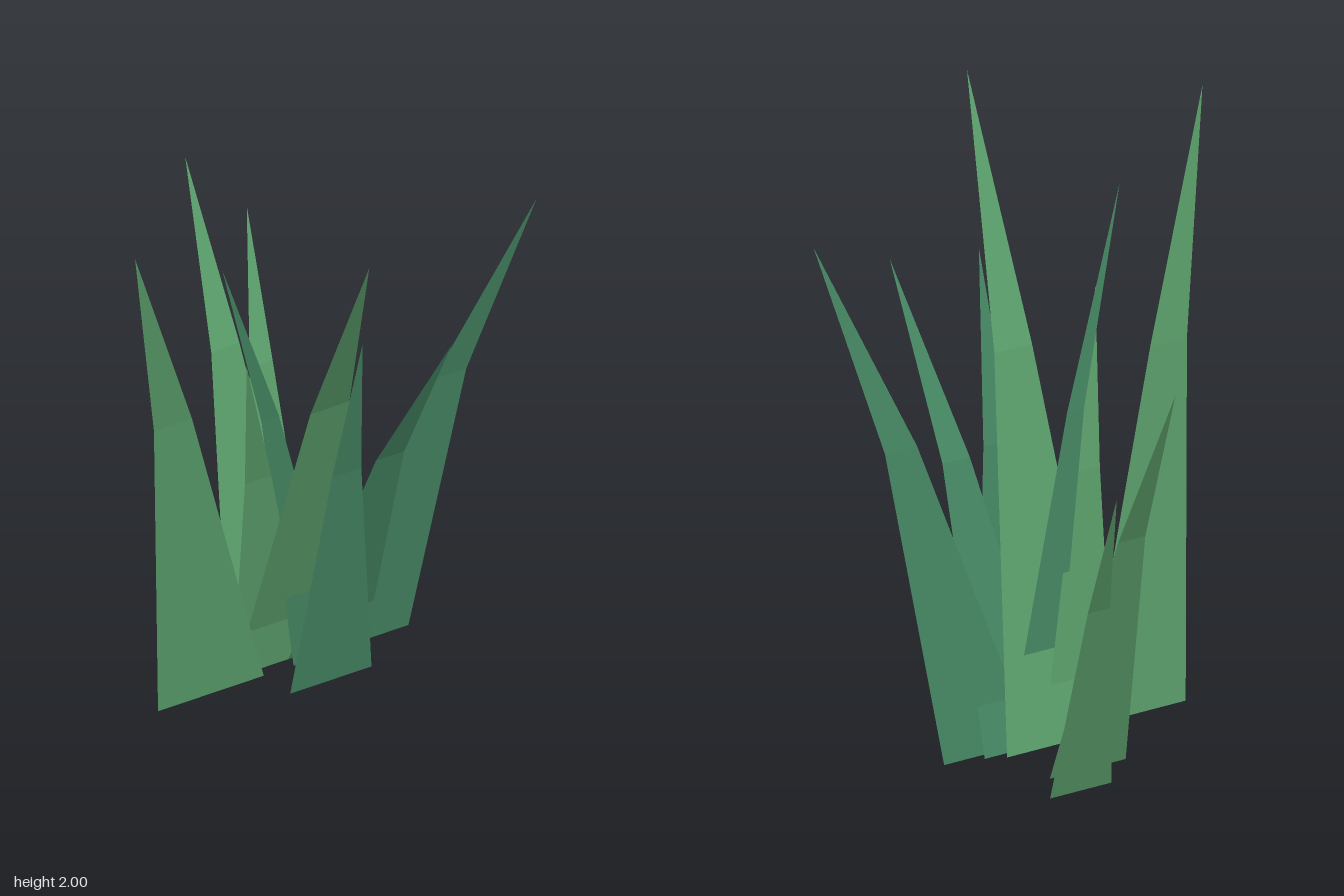
import * as THREE from 'three';

const light = new THREE.MeshStandardMaterial({ color: 0x5a9e6a, side: THREE.DoubleSide, flatShading: true });
const deep = new THREE.MeshStandardMaterial({ color: 0x458763, side: THREE.DoubleSide, flatShading: true });

// base: left x, right x, z at ground level; tip: x, y, z
const blades = [
  { name: 'wideSideBlade', base: [-0.49, -0.10, 0.05], tip: [-0.73, 1.97, 0.31], material: light },
  { name: 'farSideBlade', base: [0.10, 0.44, 0.04], tip: [0.72, 1.73, 0.365], material: deep },
  { name: 'tallBlade', base: [-0.16, 0.24, -0.02], tip: [-0.14, 2.0, 0.77], material: light },
  { name: 'frontBlade', base: [-0.08, 0.22, 0.18], tip: [-0.01, 1.51, 0.51], material: deep },
  { name: 'forwardBlade', base: [0.015, 0.305, 0.01], tip: [0.25, 1.49, 0.63], material: deep },
  { name: 'crossingBlade', base: [0.01, 0.19, 0.05], tip: [-0.36, 1.75, 0.23], material: deep },
  { name: 'shortSideBlade', base: [-0.19, 0.08, 0.01], tip: [-0.30, 1.39, 0.28], material: light },
  { name: 'backBlade', base: [-0.065, 0.225, -0.24], tip: [0.085, 1.46, -0.745], material: light },
  { name: 'smallBackBlade', base: [0.08, 0.315, -0.375], tip: [0.33, 1.17, -0.775], material: light },
];

// A bent, tapering strip: ground edge, narrower middle edge, pointed tip
function makeBlade({ name, base: [x0, x1, z0], tip: [tx, ty, tz], material }) {
  const half = (x1 - x0) * 0.18;
  const midX = ((x0 + x1) / 2 + tx) / 2;
  const midY = ty * 0.6;
  const midZ = (z0 + tz) / 2;
  const geometry = new THREE.BufferGeometry();
  geometry.setAttribute('position', new THREE.Float32BufferAttribute([
    x0, 0, z0, x1, 0, z0,
    midX - half, midY, midZ, midX + half, midY, midZ,
    tx, ty, tz,
  ], 3));
  geometry.setIndex([0, 1, 3, 0, 3, 2, 2, 3, 4]);
  const flat = geometry.toNonIndexed();
  flat.computeVertexNormals();
  const mesh = new THREE.Mesh(flat, material);
  mesh.name = name;
  return mesh;
}

export function createModel() {
  const group = new THREE.Group();
  group.name = 'grassTuft';
  for (const blade of blades) group.add(makeBlade(blade));
  return group;
}
